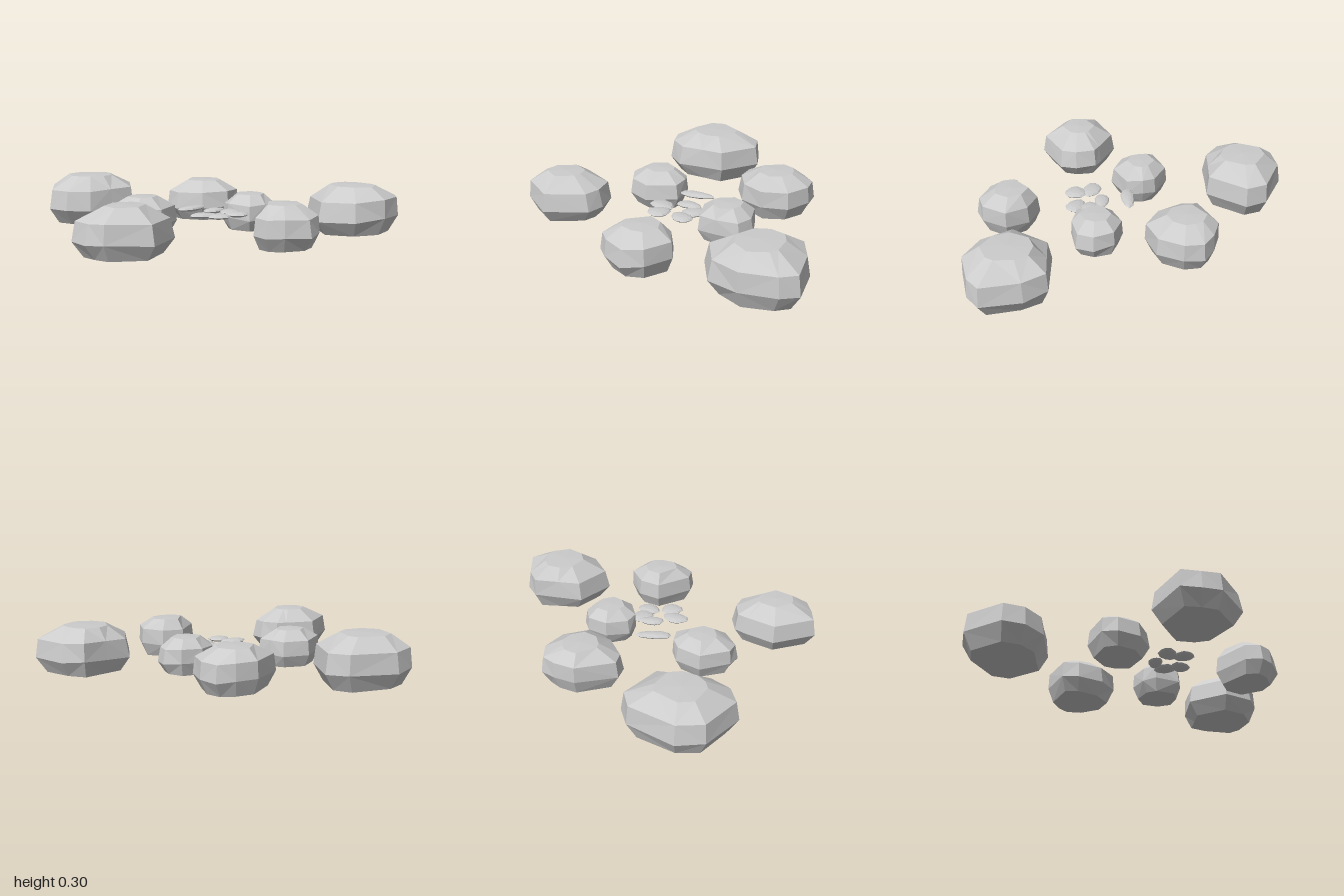
import * as THREE from 'three';

const grey = new THREE.MeshStandardMaterial({ color: 0xcccccc, flatShading: true });

// small repeatable jitter in 0..1
const jitter = (n) => { const s = Math.sin(n * 12.9898) * 43758.5453; return s - Math.floor(s); };

// Boulder: rings of the footprint [x, z, x, z, ...] shrunk about its crown centre
function makeBoulder({ centre: [cx, cz], crown, height, outline }, seed) {
  const n = outline.length / 2;
  const rings = [[], [], [], []];
  for (let i = 0; i < n; i++) {
    const dx = outline[2 * i] - cx, dz = outline[2 * i + 1] - cz;
    const r = Math.hypot(dx, dz);
    const j = jitter(seed * 17 + i);
    const at = (k, y) => new THREE.Vector3(cx + dx * k, y, cz + dz * k);
    rings[0].push(at(0.76 + 0.06 * j, 0.005));
    rings[1].push(at(1, height * (0.3 + 0.08 * j)));
    rings[2].push(at(0.9 + 0.08 * j, height * (0.7 + 0.06 * j)));
    rings[3].push(at(crown * (0.92 + 0.16 * j) / r, height * 0.985));
  }
  const pos = [];
  const tri = (...pts) => pts.forEach((p) => pos.push(p.x, p.y, p.z));
  const base = new THREE.Vector3(cx, 0.005, cz), top = new THREE.Vector3(cx, height, cz);
  for (let i = 0; i < n; i++) {
    const k = (i + 1) % n;
    for (let r = 0; r < 3; r++) {
      const a = rings[r][i], b = rings[r][k], c = rings[r + 1][i], d = rings[r + 1][k];
      if ((i + r) % 2) { tri(b, a, c); tri(b, c, d); } else { tri(b, a, d); tri(a, c, d); }
    }
    tri(base, rings[0][i], rings[0][k]);
    tri(top, rings[3][k], rings[3][i]);
  }
  const geo = new THREE.BufferGeometry();
  geo.setAttribute('position', new THREE.Float32BufferAttribute(pos, 3));
  geo.computeVertexNormals();
  return new THREE.Mesh(geo, grey);
}

// Thin pebble: flattened faceted ball with a slightly uneven edge
function makePebble(x, y, z, rx, rz, turn, seed) {
  const geo = new THREE.SphereGeometry(1, 10, 6);
  const p = geo.attributes.position;
  for (let i = 0; i < p.count; i++) {
    const a = Math.atan2(p.getZ(i), p.getX(i));
    const k = 1 + 0.07 * Math.sin(3 * a + seed);
    p.setXYZ(i, p.getX(i) * k * rx, p.getY(i) * 0.016, p.getZ(i) * k * rz);
  }
  geo.computeVertexNormals();
  const mesh = new THREE.Mesh(geo, grey);
  mesh.position.set(x, y, z);
  mesh.rotation.y = turn;
  return mesh;
}

const boulders = {
  backBoulder: { centre: [-0.25, -0.71], crown: 0.145, height: 0.305, outline: [
    -0.57, -0.7, -0.41, -0.93, -0.245, -0.96, 0.03, -0.83, 0.08, -0.7, -0.08, -0.47, -0.24, -0.475, -0.41, -0.475, -0.53, -0.57] },
  backLeftBoulder: { centre: [0.385, -0.3], crown: 0.11, height: 0.26, outline: [
    0.135, -0.285, 0.15, -0.39, 0.39, -0.49, 0.52, -0.45, 0.61, -0.39, 0.62, -0.27, 0.545, -0.12, 0.39, -0.06, 0.23, -0.135] },
  middleBoulder: { centre: [-0.31, -0.06], crown: 0.09, height: 0.235, outline: [
    -0.53, -0.06, -0.49, -0.15, -0.31, -0.23, -0.16, -0.15, -0.13, -0.07, -0.13, 0.04, -0.31, 0.13, -0.455, 0.07] },
  rightBoulder: { centre: [-0.74, 0.355], crown: 0.115, height: 0.275, outline: [
    -1, 0.235, -0.74, 0.11, -0.555, 0.2, -0.495, 0.235, -0.47, 0.365, -0.5, 0.47, -0.74, 0.6, -0.955, 0.46, -0.995, 0.35] },
  frontBoulder: { centre: [0.045, 0.735], crown: 0.105, height: 0.25, outline: [
    -0.17, 0.82, -0.16, 0.72, 0.045, 0.57, 0.18, 0.625, 0.25, 0.755, 0.165, 0.905, 0.045, 0.955, -0.095, 0.89] },
  frontLeftBoulder: { centre: [0.715, 0.685], crown: 0.14, height: 0.29, outline: [
    0.405, 0.69, 0.56, 0.465, 0.72, 0.465, 0.88, 0.465, 0.96, 0.59, 1, 0.82, 0.915, 0.89, 0.715, 0.94, 0.52, 0.875] },
  smallBoulder: { centre: [0.31, 0.225], crown: 0.09, height: 0.225, outline: [
    0.14, 0.2, 0.17, 0.12, 0.31, 0.065, 0.435, 0.115, 0.48, 0.235, 0.44, 0.34, 0.3, 0.37, 0.18, 0.35] },
};

// x, y, z, half width, half depth, turn
const pebbles = [
  [-0.11, 0.132, 0.255, 0.085, 0.058, -0.3],
  [0.035, 0.138, 0.19, 0.08, 0.045, 0],
  [0.105, 0.13, 0.255, 0.075, 0.062, 0.7],
  [-0.075, 0.135, 0.355, 0.07, 0.065, 0.5],
  [0.075, 0.13, 0.35, 0.075, 0.056, -0.4],
];

export function createModel() {
  const model = new THREE.Group();
  Object.entries(boulders).forEach(([name, spec], i) => {
    const rock = makeBoulder(spec, i + 1);
    rock.name = name;
    model.add(rock);
  });

  // cluster of thin pebbles in the middle
  const cluster = new THREE.Group();
  cluster.name = 'pebbleCluster';
  pebbles.forEach((p, i) => {
    const pebble = makePebble(...p, i);
    pebble.name = 'pebble' + (i + 1);
    cluster.add(pebble);
  });
  model.add(cluster);

  // lone elongated pebble
  const lone = makePebble(0, 0.135, 0.03, 0.115, 0.042, 0.08, 2);
  lone.name = 'longPebble';
  model.add(lone);
  return model;
}
